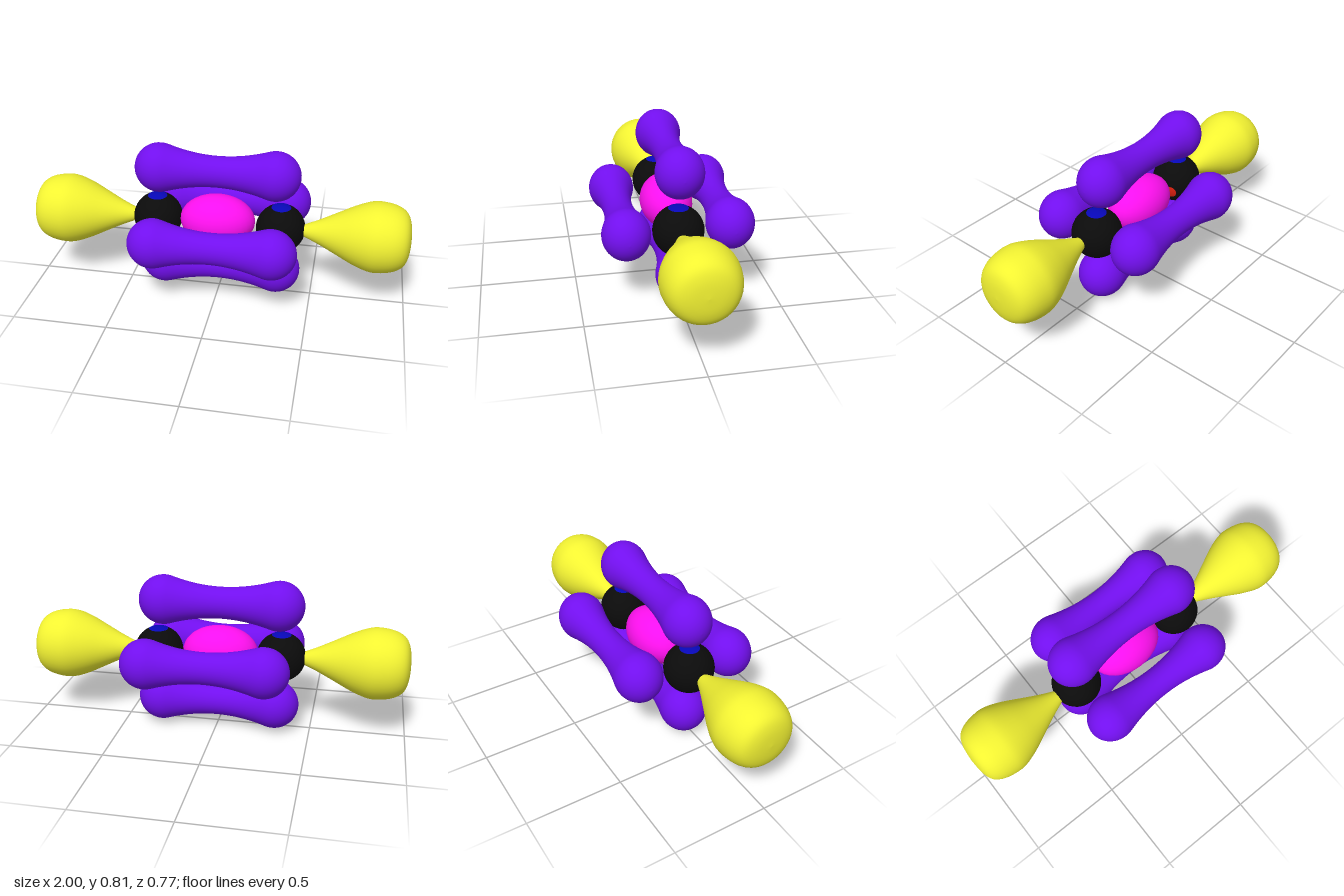
import * as THREE from 'three';

const material = (color) => new THREE.MeshStandardMaterial({ color });
const purple = material(0x720fee);
const yellow = material(0xf2f232);
const magenta = material(0xff10f0);
const black = material(0x0b0b0b);
const blue = material(0x0808b8);
const red = material(0xe02010);

function addMesh(parent, name, geometry, mat, x = 0, y = 0, z = 0) {
  const mesh = new THREE.Mesh(geometry, mat);
  mesh.name = name;
  mesh.position.set(x, y, z);
  parent.add(mesh);
  return mesh;
}

// Revolve a (radius, length) profile around the x axis
const latheX = (points) => new THREE.LatheGeometry(points, 40).rotateZ(-Math.PI / 2);

// Dumbbell: narrow waist flaring into two round ends
function dumbbellGeometry() {
  const R = 0.131, centre = 0.305, join = 0.3;
  const joinX = centre - R * Math.sin(join);
  const joinR = R * Math.cos(join);
  const waist = 0.083;
  const half = [];
  for (let i = 0; i <= 12; i++) {
    const t = i / 12;
    half.push(new THREE.Vector2(waist + (joinR - waist) * t * t, joinX * t));
  }
  for (let i = 1; i <= 14; i++) {
    const a = -join + (Math.PI / 2 + join) * i / 14;
    half.push(new THREE.Vector2(Math.max(0, R * Math.cos(a)), centre + R * Math.sin(a)));
  }
  const mirrored = half.slice(1).reverse().map((p) => new THREE.Vector2(p.x, -p.y));
  return latheX([...mirrored, ...half]).scale(1, 1, 0.94);
}

// Teardrop lobe: thin tip at the atom, blunt outer end
function teardropGeometry() {
  const profile = new THREE.SplineCurve([
    [0, 0.37], [0.032, 0.45], [0.066, 0.53], [0.11, 0.62], [0.154, 0.71],
    [0.182, 0.79], [0.185, 0.85], [0.171, 0.92], [0.138, 0.97], [0.08, 0.993], [0, 1],
  ].map(([r, x]) => new THREE.Vector2(r, x)));
  const points = profile.getPoints(44);
  points.forEach((p) => { p.x = Math.max(0, p.x); });
  return latheX(points);
}

export function createModel() {
  const model = new THREE.Group();
  model.name = 'orbitalModel';

  // Four dumbbell clouds around the axis
  const dumbbell = dumbbellGeometry();
  [
    ['topCloud', -0.015, 0.686, -0.013],
    ['bottomCloud', 0, 0.134, -0.012],
    ['frontCloud', 0.002, 0.384, 0.258],
    ['backCloud', 0.027, 0.417, -0.262],
  ].forEach(([name, x, y, z]) => addMesh(model, name, dumbbell, purple, x, y, z));

  // Central bond cloud
  addMesh(model, 'centreBond', new THREE.SphereGeometry(1, 32, 20).scale(0.2, 0.138, 0.138),
    magenta, -0.01, 0.412, 0);

  // Outer lobes and atoms, one of each per side
  const teardrop = teardropGeometry();
  const ball = new THREE.SphereGeometry(0.13, 32, 20);
  const capGeometry = (angle) => new THREE.SphereGeometry(0.132, 24, 6, 0, Math.PI * 2, 0, angle);
  [['left', 1, 0.326, 0.395], ['right', -1, -0.334, 0.405]].forEach(([side, s, x, y]) => {
    const lobe = addMesh(model, side + 'OuterLobe', teardrop, yellow, 0, y, 0.003);
    if (s < 0) lobe.rotation.y = Math.PI;
    addMesh(model, side + 'Atom', ball, black, x, y, 0);

    // Blue patches on the poles of the atom
    addMesh(model, side + 'TopPatch', capGeometry(0.4), blue, x, y, 0);
    addMesh(model, side + 'BottomPatch', capGeometry(0.55), blue, x, y, 0).rotation.x = Math.PI;
  });

  // Red patch on the inner side of one atom
  const patch = addMesh(model, 'innerPatch', capGeometry(0.27), red, -0.334, 0.405, 0);
  patch.quaternion.setFromUnitVectors(new THREE.Vector3(0, 1, 0),
    new THREE.Vector3(0.9, -0.16, -0.36).normalize());

  return model;
}
